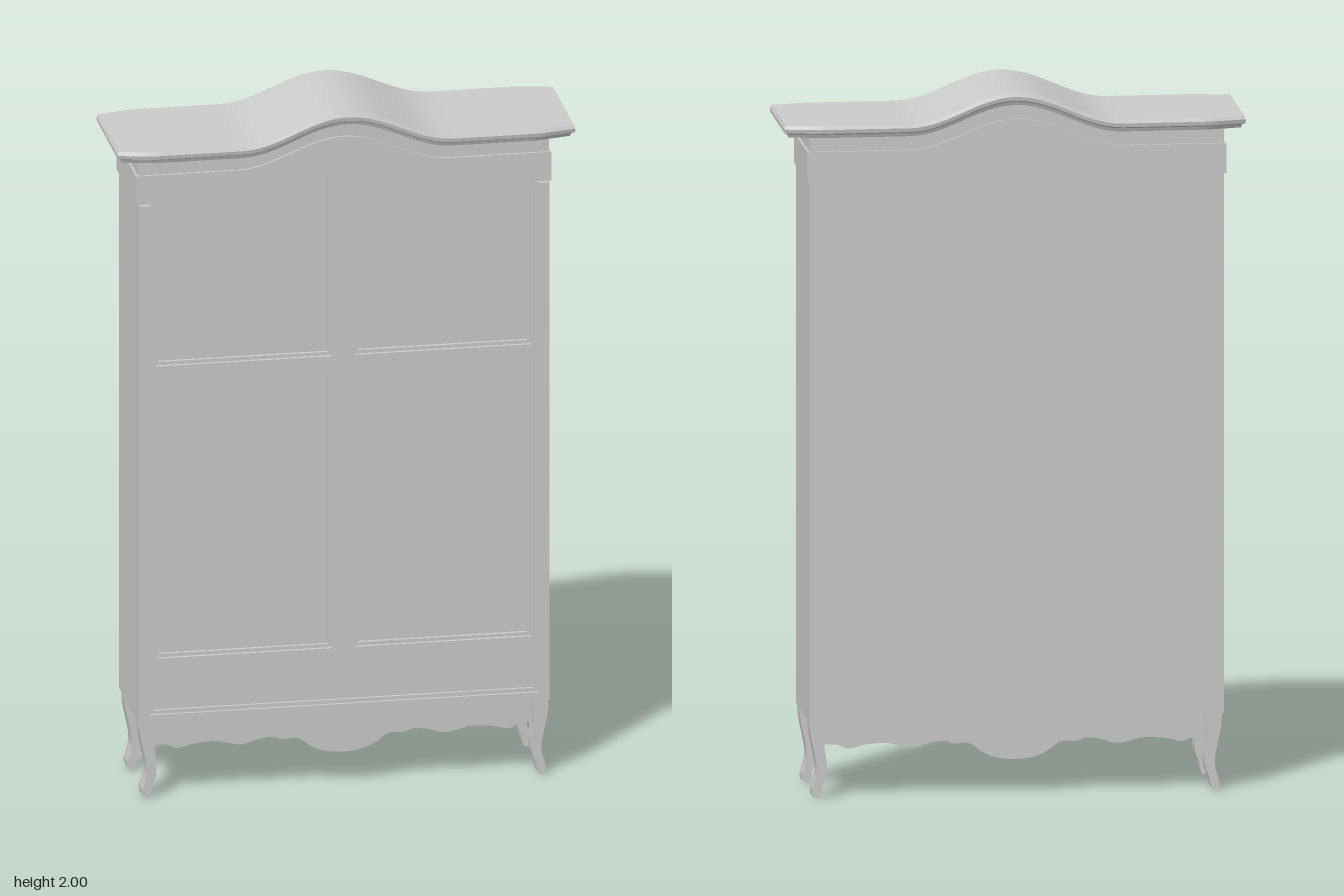
import * as THREE from 'three';
import { toCreasedNormals } from 'three/addons/utils/BufferGeometryUtils.js';

const grey = new THREE.MeshStandardMaterial({ color: 0xcccccc });

// Rise of the arched top above its level ends
const arch = (x) => (Math.abs(x) < 0.3 ? 0.041 * (1 + Math.cos((Math.PI * x) / 0.3)) : 0);

function addMesh(parent, name, geometry) {
  const mesh = new THREE.Mesh(toCreasedNormals(geometry, 0.5), grey);
  mesh.name = name;
  parent.add(mesh);
  return mesh;
}

// Outline with a flat bottom and a top that follows the arch
function archedPoints(x0, x1, y0, y1) {
  const pts = [new THREE.Vector2(x0, y0), new THREE.Vector2(x1, y0)];
  const n = 40;
  for (let i = 0; i <= n; i++) {
    const x = x1 + ((x0 - x1) * i) / n;
    pts.push(new THREE.Vector2(x, y1 + arch(x)));
  }
  return pts;
}

function extrude(shape, z0, z1) {
  const g = new THREE.ExtrudeGeometry(shape, { depth: z1 - z0, bevelEnabled: false, curveSegments: 10 });
  return g.translate(0, 0, z0);
}

// Box bent along the arch; levels are [y, inset] from bottom to top, ends may be chamfered
function archedBand(hx, hz, levels, chamfer = 0) {
  const rows = levels.length - 1;
  const g = new THREE.BoxGeometry(2, rows, 2, 52, rows, 1);
  const p = g.attributes.position;
  for (let i = 0; i < p.count; i++) {
    const [y, inset] = levels[Math.round(p.getY(i) + rows / 2)];
    const x = p.getX(i) * (hx - inset);
    const t = Math.max(0, (Math.abs(p.getX(i)) - 0.846) / 0.154);
    p.setXYZ(i, x, y + arch(x), p.getZ(i) * (hz - inset - chamfer * t));
  }
  g.computeVertexNormals();
  return g;
}

// Front plate with four openings, each grown by the margin m
function doorPlate(m, z0, z1) {
  const shape = new THREE.Shape(archedPoints(-0.583, 0.583, 0.22, 1.765));
  for (const s of [-1, 1]) {
    const a = s * (0.043 - m), b = s * (0.522 + m);
    const x0 = Math.min(a, b), x1 = Math.max(a, b);
    shape.holes.push(new THREE.Path(archedPoints(x0, x1, 1.283 - m, 1.734 + m)));
    shape.holes.push(new THREE.Path([[x0, 0.418 - m], [x1, 0.418 - m], [x1, 1.217 + m], [x0, 1.217 + m]]
      .map(([x, y]) => new THREE.Vector2(x, y))));
  }
  return extrude(shape, z0, z1);
}

// Raised U-shaped border round the sides and bottom of the front
function border(xo, xi, yo, yi, z0, z1) {
  const shape = new THREE.Shape([[-xo, yo], [xo, yo], [xo, 1.755], [xi, 1.755], [xi, yi], [-xi, yi], [-xi, 1.755], [-xo, 1.755]]
    .map(([x, y]) => new THREE.Vector2(x, y)));
  return extrude(shape, z0, z1);
}

function legShape(side) {
  const outer = [[0.579, 0.22], [0.578, 0.185], [0.567, 0.13], [0.56, 0.09], [0.562, 0.06], [0.573, 0.02], [0.571, 0.006]];
  const inner = [[0.556, 0], [0.548, 0.012], [0.545, 0.035], [0.534, 0.06], [0.532, 0.1], [0.538, 0.145], [0.536, 0.19], [0.532, 0.22]];
  const smooth = (pts) => new THREE.SplineCurve(pts.map(([x, y]) => new THREE.Vector2(x * side, y))).getPoints(24);
  return new THREE.Shape([...smooth(outer), ...smooth(inner)]);
}

function apronShape() {
  const half = [[0.545, 0.15], [0.5, 0.148], [0.47, 0.137], [0.42, 0.147], [0.36, 0.15], [0.29, 0.136], [0.24, 0.149],
    [0.2, 0.153], [0.17, 0.144], [0.13, 0.145], [0.09, 0.118], [0.05, 0.102], [0, 0.097]];
  const full = [...half, ...half.slice(0, -1).reverse().map(([x, y]) => [-x, y])];
  const edge = new THREE.SplineCurve(full.map(([x, y]) => new THREE.Vector2(x, y))).getPoints(120);
  return new THREE.Shape([new THREE.Vector2(-0.545, 0.225), new THREE.Vector2(0.545, 0.225), ...edge]);
}

export function createModel() {
  const model = new THREE.Group();
  model.name = 'wardrobe';

  // Everything below the cornice
  const cabinet = new THREE.Group();
  cabinet.name = 'cabinet';
  cabinet.position.x = -0.006;
  model.add(cabinet);

  // Carcass, whose front face forms the recessed door panels
  addMesh(cabinet, 'carcass', extrude(new THREE.Shape(archedPoints(-0.583, 0.583, 0.22, 1.765)), -0.148, 0.134));
  addMesh(cabinet, 'panelMoulding', doorPlate(0, 0.134, 0.144));
  addMesh(cabinet, 'doorFrame', doorPlate(0.01, 0.144, 0.154));
  addMesh(cabinet, 'innerBorder', border(0.583, 0.54, 0.22, 0.258, 0.154, 0.162));
  addMesh(cabinet, 'outerBorder', border(0.578, 0.552, 0.225, 0.247, 0.162, 0.17));

  // Stepped frieze under the cornice
  addMesh(cabinet, 'lowerFrieze', archedBand(0.589, 0.1555, [[1.755, 0], [1.84, 0]]));
  addMesh(cabinet, 'upperFrieze', archedBand(0.583, 0.149, [[1.835, 0], [1.89, 0]]));

  // Scalloped apron and curved legs
  addMesh(cabinet, 'apron', extrude(apronShape(), -0.115, 0.145));
  for (const side of [-1, 1]) {
    addMesh(cabinet, 'frontLeg', extrude(legShape(side), 0.102, 0.162));
    addMesh(cabinet, 'backLeg', extrude(legShape(side), -0.133, -0.073));
  }

  // Overhanging cornice with chamfered corners
  addMesh(model, 'cornice', archedBand(0.65, 0.189,
    [[1.883, 0.014], [1.893, 0.01], [1.897, 0.002], [1.908, 0], [1.918, 0.005]], 0.022));

  return model;
}
